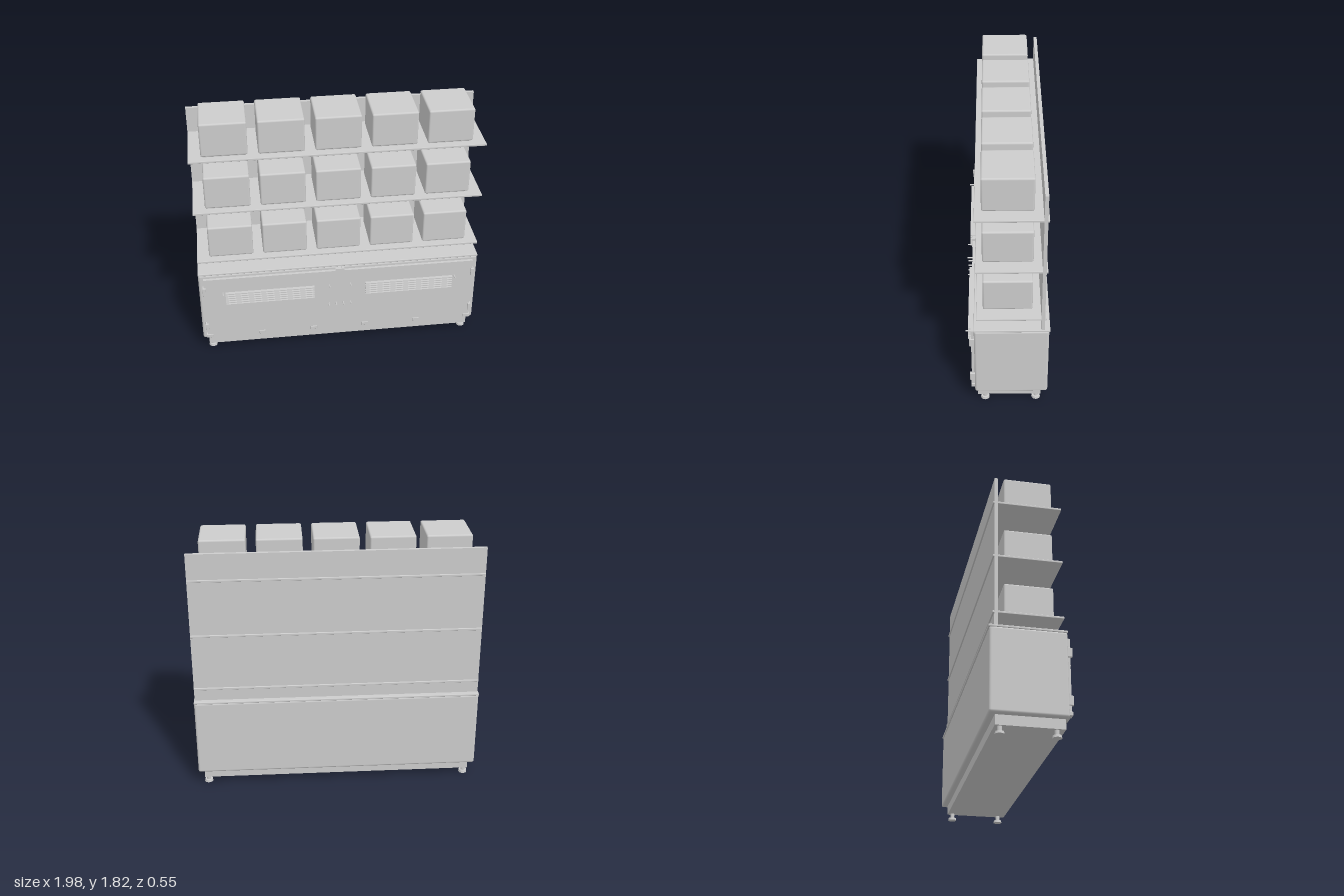
import * as THREE from 'three';
import { RoundedBoxGeometry } from 'three/addons/geometries/RoundedBoxGeometry.js';

export function createModel() {
  const model = new THREE.Group();
  model.name = 'shelfCabinet';
  const grey = new THREE.MeshStandardMaterial({ color: 0xcccccc });
  grey.name = 'light grey';

  const add = (name, geometry, x, y, z) => {
    const mesh = new THREE.Mesh(geometry, grey);
    mesh.name = name;
    mesh.position.set(x, y, z);
    model.add(mesh);
    return mesh;
  };
  // Box given by its limits on each axis; an optional radius rounds the edges
  const box = (name, [x0, x1], [y0, y1], [z0, z1], radius = 0) => {
    const size = [x1 - x0, y1 - y0, z1 - z0];
    const geometry = radius
      ? new RoundedBoxGeometry(...size, 3, radius)
      : new THREE.BoxGeometry(...size);
    return add(name, geometry, (x0 + x1) / 2, (y0 + y1) / 2, (z0 + z1) / 2);
  };

  // Cabinet body, plinth and worktop
  box('cabinetBody', [-0.99, 0.99], [0.115, 0.672], [-0.27, 0.217], 0.016);
  box('plinth', [-0.95, 0.95], [0.05, 0.13], [-0.228, 0.2]);
  box('worktop', [-0.99, 0.99], [0.668, 0.684], [-0.276, 0.218], 0.004);

  // Levelling feet
  for (const x of [-0.925, 0.925]) {
    for (const z of [-0.195, 0.15]) {
      add('footStem', new THREE.CylinderGeometry(0.015, 0.015, 0.05, 20), x, 0.035, z);
      add('footDisc', new THREE.CylinderGeometry(0.027, 0.03, 0.017, 24), x, 0.0085, z);
    }
  }

  // Front panel with hinges, clips and the central latch
  box('frontPanel', [-0.955, 0.955], [0.138, 0.645], [0.21, 0.237]);
  for (const s of [-1, 1]) {
    for (const y of [0.233, 0.55]) {
      box('hinge', [s * 0.954 - 0.011, s * 0.954 + 0.011], [y - 0.031, y + 0.031], [0.215, 0.249], 0.003);
    }
    box('latchSide', [s * 0.021 - 0.01, s * 0.021 + 0.01], [0.59, 0.665], [0.21, 0.243]);
  }
  box('latchBar', [-0.012, 0.012], [0.595, 0.66], [0.21, 0.239]);
  for (const x of [-0.94, -0.565, -0.19, 0.185, 0.56, 0.94]) {
    box('bottomClip', [x - 0.024, x + 0.024], [0.136, 0.164], [0.21, 0.242], 0.003);
  }

  // Ventilation louvres
  for (const s of [-1, 1]) {
    for (let i = 0; i < 6; i++) {
      const y = 0.436 + i * 0.018;
      box('louvre', [s * 0.495 - 0.313, s * 0.495 + 0.313], [y - 0.004, y + 0.004], [0.235, 0.26]);
    }
  }

  // Small pins on the front panel
  const pins = [[-0.825, 0.527], [0.825, 0.527], [-0.075, 0.527], [0.075, 0.527],
    [-0.08, 0.367], [-0.028, 0.367], [0.024, 0.367], [0.076, 0.367]];
  for (const [x, y] of pins) {
    add('pin', new THREE.CylinderGeometry(0.005, 0.005, 0.045, 12), x, y, 0.253).rotation.x = Math.PI / 2;
  }

  // Back board, with shelves passing through it
  box('backBoard', [-0.985, 0.985], [0.68, 1.75], [-0.24, -0.217]);
  for (const top of [0.78, 1.176, 1.572]) {
    box('shelf', [-0.985, 0.985], [top - 0.015, top], [-0.25, 0.2], 0.003);
    // Five storage boxes per shelf
    for (let i = -2; i <= 2; i++) {
      const x = i * 0.374;
      box('storageBox', [x - 0.153, x + 0.153], [top + 0.006, top + 0.243], [-0.163, 0.157], 0.012);
      box('boxFoot', [x - 0.14, x + 0.14], [top, top + 0.012], [-0.15, 0.145]);
    }
  }
  return model;
}
